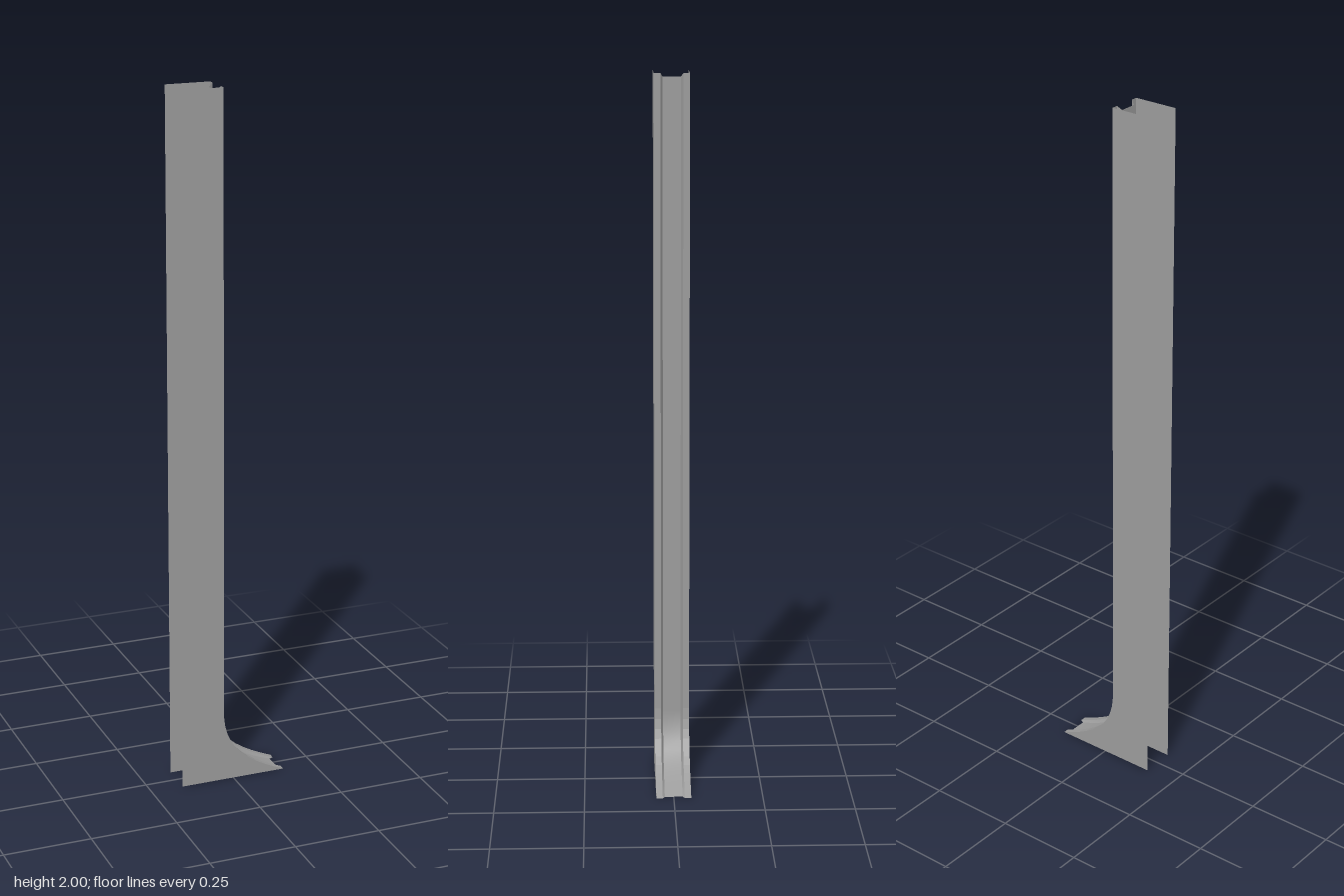
import * as THREE from 'three';

const color = 0x9c9c9c;
const flat = new THREE.MeshStandardMaterial({ color, flatShading: true, side: THREE.DoubleSide });
const smooth = new THREE.MeshStandardMaterial({ color, side: THREE.DoubleSide });

// Front edge in the xy plane: straight down, then flaring out at the foot
function frontEdge() {
  const flare = new THREE.CubicBezierCurve3(
    new THREE.Vector3(-0.029, 0.2, 0), new THREE.Vector3(-0.024, 0.09, 0),
    new THREE.Vector3(0.05, 0.042, 0), new THREE.Vector3(0.157, 0, 0));
  return [new THREE.Vector3(-0.029, 2, 0), ...flare.getPoints(10)];
}

// Recessed copy of a front edge point; its drop fades out at the floor
function edgePoint(p, depth) {
  const drop = 0.01 * Math.min(1, p.y / 0.1);
  return [p.x - 0.012 * depth, p.y - drop * depth];
}

// One strip of the face between two section points [z, depth]
function strip(edge, from, to) {
  const positions = [], index = [];
  edge.forEach((p, i) => {
    for (const [z, depth] of [from, to]) positions.push(...edgePoint(p, depth), z);
    if (i > 0) {
      const a = 2 * (i - 1);
      index.push(a, a + 2, a + 1, a + 1, a + 2, a + 3);
    }
  });
  const g = new THREE.BufferGeometry();
  g.setAttribute('position', new THREE.Float32BufferAttribute(positions, 3));
  g.setIndex(index);
  g.computeVertexNormals();
  return g;
}

export function createModel() {
  const group = new THREE.Group();
  group.name = 'flaredPilaster';
  const edge = frontEdge();

  function add(name, geometry, material) {
    const mesh = new THREE.Mesh(geometry, material);
    mesh.name = name;
    group.add(mesh);
    return mesh;
  }

  // Fluted front face: flat flanges, bevels and a smooth central recess
  const section = [[0.049, 0], [0.031, 0], [0.025, 1], [-0.025, 1], [-0.031, 0], [-0.049, 0]];
  const names = ['frontFlange', 'frontBevel', 'recess', 'backBevel', 'backFlange'];
  names.forEach((name, i) => {
    add(name, strip(edge, section[i], section[i + 1]), name.endsWith('Flange') ? flat : smooth);
  });

  // Thin side panels, open at the top, back and bottom between them
  const outline = new THREE.Shape([
    new THREE.Vector2(-0.157, 0), ...edge.map((p) => new THREE.Vector2(p.x, p.y)).reverse(),
    new THREE.Vector2(-0.157, 2),
  ]);
  for (const [name, z] of [['frontPanel', 0.049], ['backPanel', -0.049]]) {
    const geometry = new THREE.ShapeGeometry(outline);
    if (z < 0) geometry.index.array.reverse();
    geometry.computeVertexNormals();
    add(name, geometry, flat).position.z = z;
  }
  return group;
}
